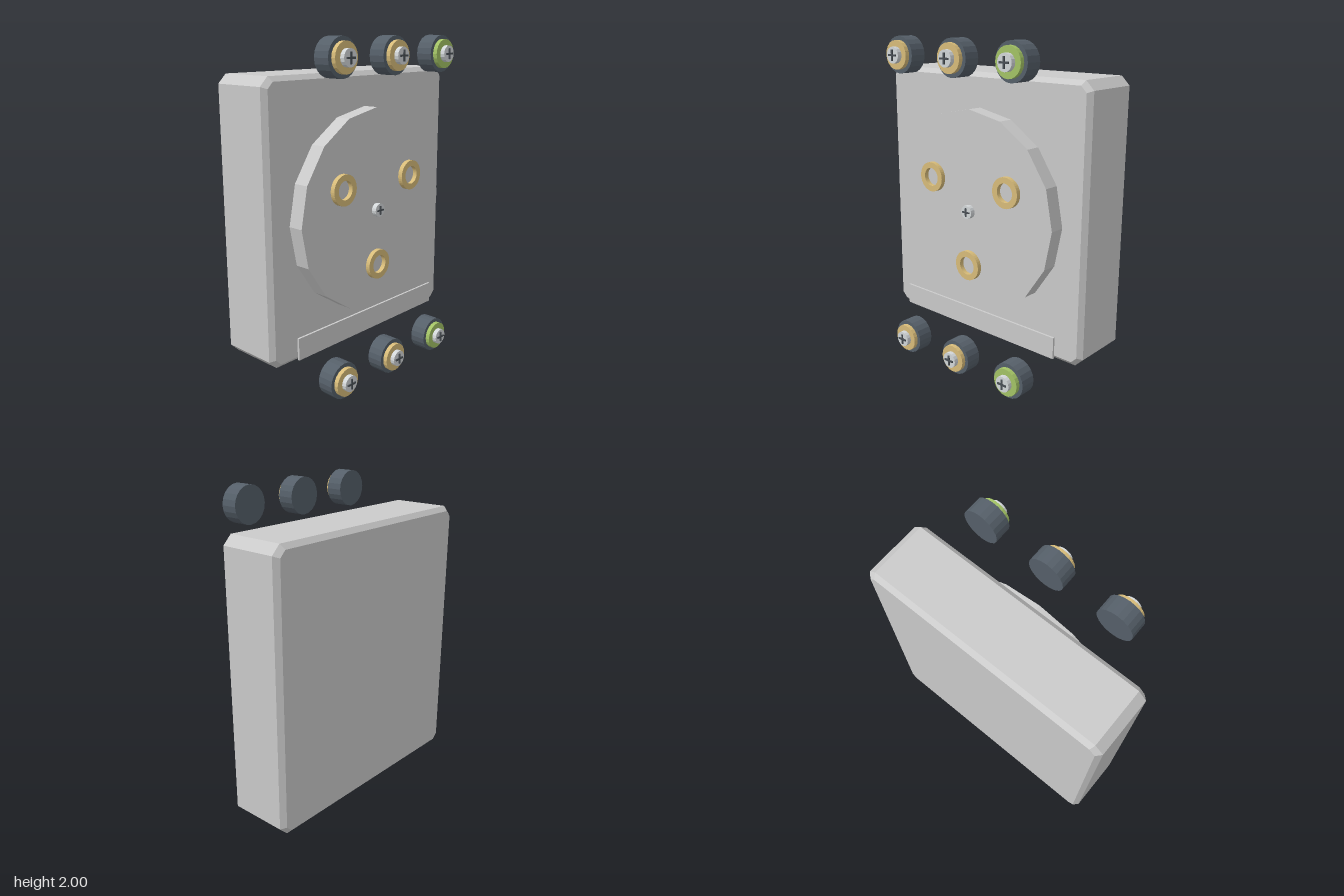
import * as THREE from 'three';

const mat = (color) => new THREE.MeshStandardMaterial({ color, flatShading: true });
const grey = mat(0xcccccc), brass = mat(0xd9bd7a), green = mat(0xa4c466);
const rubber = mat(0x56606a), steel = mat(0xd4d8da), slot = mat(0x4a5056);

function add(parent, name, geometry, material, x = 0, y = 0, z = 0) {
  const mesh = new THREE.Mesh(geometry, material);
  mesh.name = name;
  mesh.position.set(x, y, z);
  parent.add(mesh);
  return mesh;
}

// Cylinder lying along z, from z0 to z1
function disc(parent, name, r, z0, z1, sides, material) {
  const g = new THREE.CylinderGeometry(r, r, z1 - z0, sides).rotateX(Math.PI / 2);
  return add(parent, name, g, material, 0, 0, (z0 + z1) / 2);
}

// Screw head with a raised cross
function screw(parent, r, z0, z1) {
  disc(parent, 'screwHead', r, z0, z1, 16, steel);
  const len = r * 1.3, w = r * 0.22;
  add(parent, 'crossBarAcross', new THREE.BoxGeometry(len, w, 0.014), slot, 0, 0, z1);
  add(parent, 'crossBarUpright', new THREE.BoxGeometry(w, len, 0.014), slot, 0, 0, z1);
}

function group(parent, name, x, y) {
  const g = new THREE.Group();
  g.name = name;
  g.position.set(x, y, 0);
  parent.add(g);
  return g;
}

export function createModel() {
  const model = new THREE.Group();
  model.name = 'socketModule';

  // Housing: cut corners and a bevel front and back
  const b = 0.027, w = 0.75 - b, h = 0.8 - b, c = 0.035;
  const outline = new THREE.Shape([
    [w, -h + c], [w, h - c], [w - c, h], [-w + c, h],
    [-w, h - c], [-w, -h + c], [-w + c, -h], [w - c, -h],
  ].map(([x, y]) => new THREE.Vector2(x, y)));
  const housing = new THREE.ExtrudeGeometry(outline, {
    depth: 0.394 - 2 * b, bevelEnabled: true, bevelSize: b, bevelThickness: b, bevelSegments: 1,
  });
  add(model, 'housing', housing, grey, 0, 1.003, -0.342 + b);

  // Socket face
  const face = group(model, 'socketFace', 0, 1.003);
  disc(face, 'facePlate', 0.6, 0.045, 0.146, 16, grey);
  screw(face, 0.04, 0.146, 0.176);

  // Contact rings
  const ring = new THREE.Shape().absarc(0, 0, 0.09, 0, Math.PI * 2);
  ring.holes.push(new THREE.Path().absarc(0, 0, 0.055, 0, Math.PI * 2, true));
  const ringGeo = new THREE.ExtrudeGeometry(ring, { depth: 0.034, bevelEnabled: false, curveSegments: 20 });
  for (const [x, y] of [[-0.29, 1.17], [0.29, 1.17], [0, 0.67]])
    add(model, 'contactRing', ringGeo, brass, x, y, 0.14);

  // Marking plate
  add(model, 'markingPlate', new THREE.BoxGeometry(1.2, 0.13, 0.013), grey, 0, 0.304, 0.1);

  // Terminals along the top and bottom, earth on the left side
  for (const y of [0.107, 1.893])
    for (const x of [-0.42, 0, 0.42]) {
      const t = group(model, 'terminal', x, y);
      disc(t, 'terminalBase', 0.107, 0.183, 0.282, 20, rubber);
      disc(t, 'terminalCollar', 0.084, 0.282, 0.308, 20, x > 0 ? green : brass);
      screw(t, 0.048, 0.308, 0.335);
    }

  return model;
}
